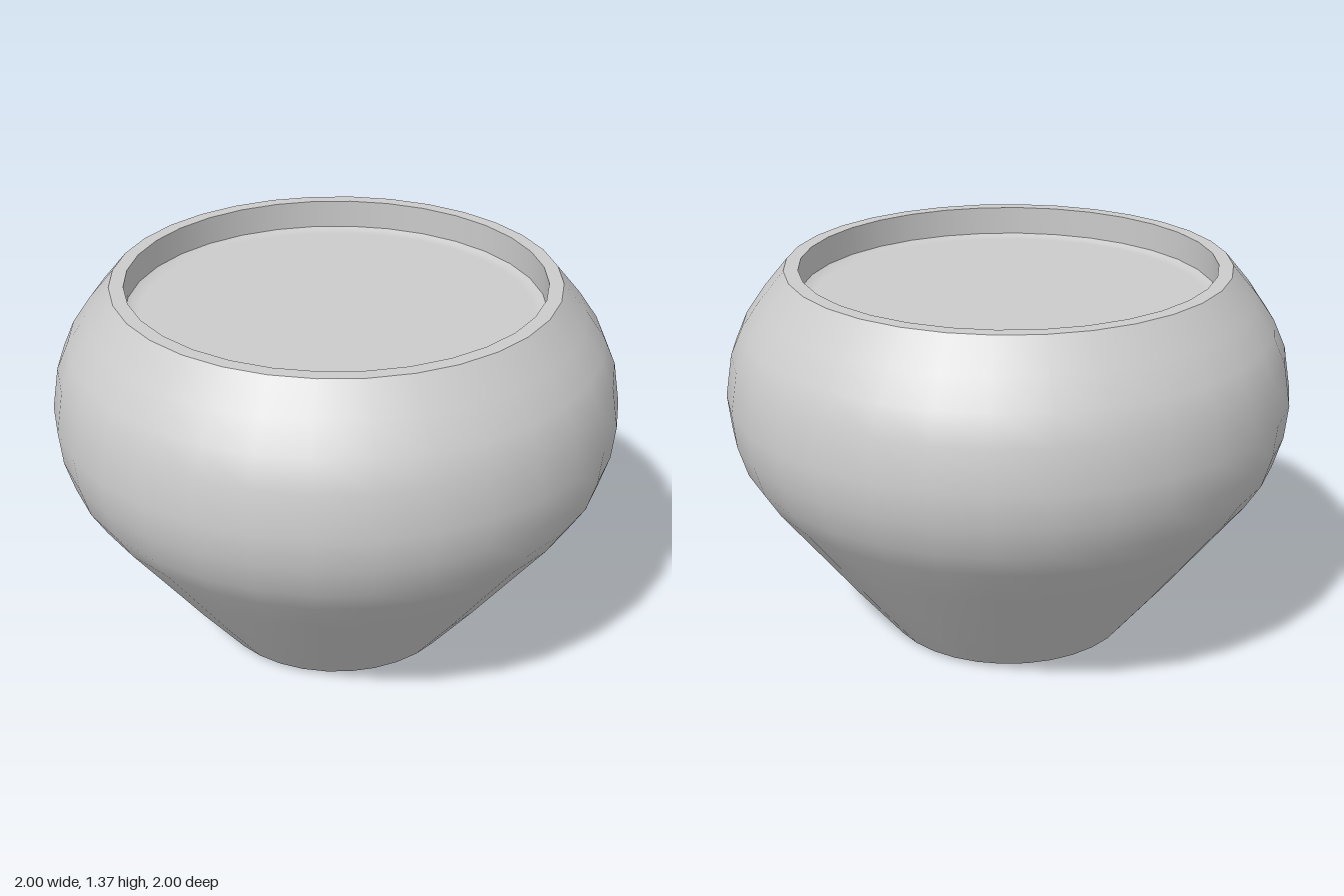
import * as THREE from 'three';

const SEGMENTS = 32;

export function createModel() {
  const model = new THREE.Group();
  model.name = 'plantPot';
  const material = new THREE.MeshStandardMaterial({ color: 0xcccccc });

  // Each profile is [radius, height]; separate lathes keep the edges between them sharp.
  const addLathe = (name, profile) => {
    const points = profile.map(([r, y]) => new THREE.Vector2(r, y));
    const mesh = new THREE.Mesh(new THREE.LatheGeometry(points, SEGMENTS), material);
    mesh.name = name;
    model.add(mesh);
  };

  // Underside with a slightly rounded edge
  addLathe('base', [[0, 0], [0.39, 0.003], [0.45, 0.016]]);

  // Tapered foot swelling into a round shoulder
  addLathe('outerWall', [
    [0.45, 0.016], [0.62, 0.23], [0.79, 0.455], [0.90, 0.60], [0.955, 0.69],
    [0.988, 0.80], [1, 0.92], [0.975, 1.07], [0.933, 1.165], [0.866, 1.262], [0.78, 1.365],
  ]);

  // Flat lip
  addLathe('rim', [[0.78, 1.365], [0.73, 1.365]]);

  // Inside of the lip
  addLathe('innerWall', [[0.73, 1.365], [0.732, 1.262]]);

  // Filling, softly curved up at its edge
  addLathe('soil', [[0.732, 1.262], [0.715, 1.253], [0.69, 1.25], [0, 1.25]]);

  return model;
}
